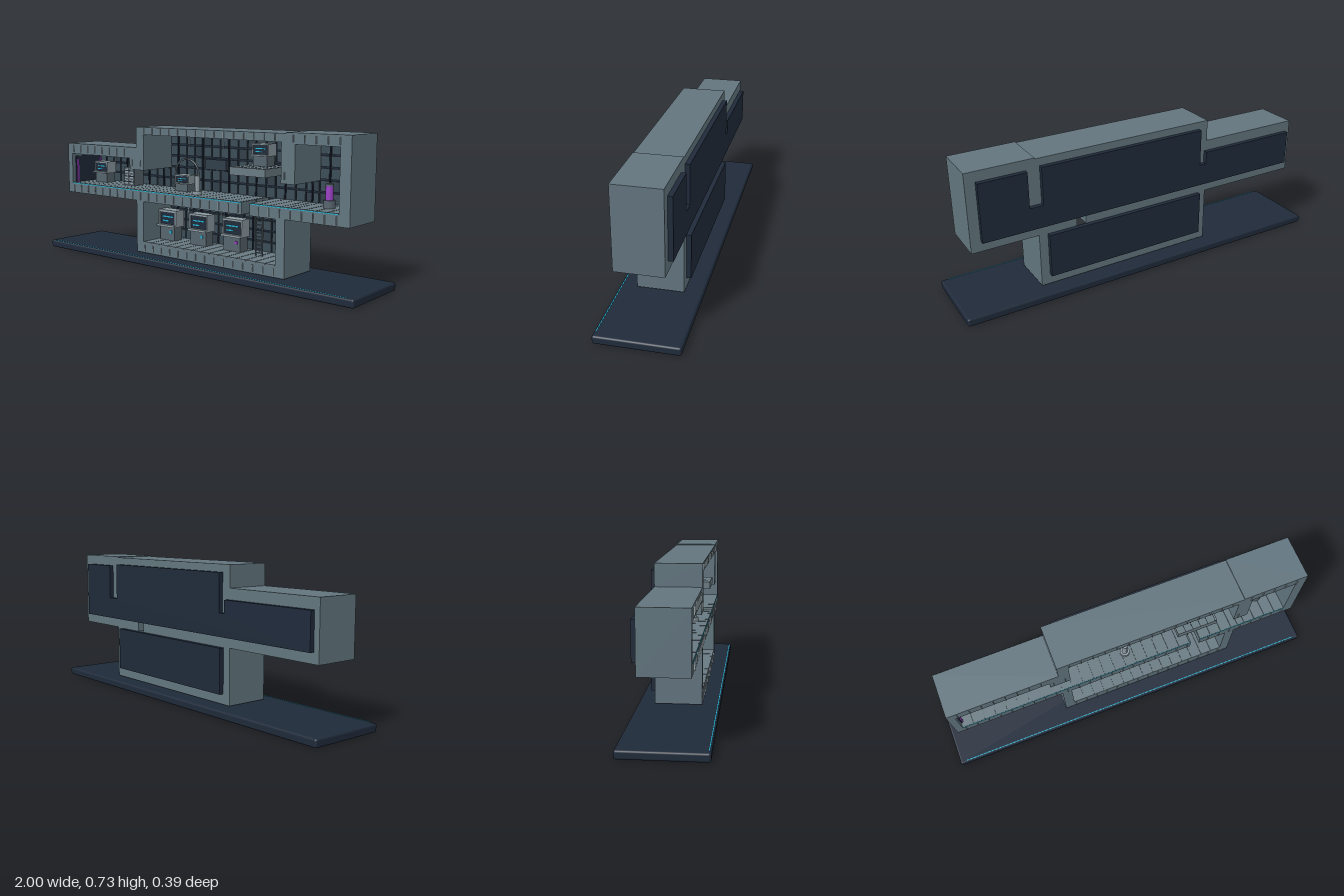
import * as THREE from 'three';
import { mergeGeometries } from 'three/addons/utils/BufferGeometryUtils.js';
import { RoundedBoxGeometry } from 'three/addons/geometries/RoundedBoxGeometry.js';

const mat = (name, color) => {
  const m = new THREE.MeshStandardMaterial({ color });
  m.name = name;
  return m;
};

// Box given by its lower and upper corners
const box = (x0, x1, y0, y1, z0, z1) =>
  new THREE.BoxGeometry(x1 - x0, y1 - y0, z1 - z0)
    .translate((x0 + x1) / 2, (y0 + y1) / 2, (z0 + z1) / 2);
const rod = (x, y0, y1, z, r, n = 12) =>
  new THREE.CylinderGeometry(r, r, y1 - y0, n).translate(x, (y0 + y1) / 2, z);
const points = list => list.map(([x, y]) => new THREE.Vector2(x, y));
const slab = (shape, z0, depth) =>
  new THREE.ExtrudeGeometry(shape, { depth, bevelEnabled: false }).translate(0, 0, z0);

export function createModel() {
  const M = {
    hull: mat('hull grey', 0x62757e),
    navy: mat('dark navy', 0x1f2a3a),
    wall: mat('wall panel', 0x3a4b56),
    wallDark: mat('dark wall panel', 0x303e49),
    floor: mat('floor grey', 0x697a82),
    pale: mat('pale metal', 0x8d9ca3),
    metal: mat('machine grey', 0x56646d),
    cyan: mat('cyan light', 0x22b8d8),
    purple: mat('purple light', 0x9a3fc4),
  };
  const model = new THREE.Group();
  const add = (name, material, geos, parent = model) => {
    const list = [].concat(geos);
    const mesh = new THREE.Mesh(list.length > 1 ? mergeGeometries(list) : list[0], material);
    mesh.name = name;
    parent.add(mesh);
    return mesh;
  };

  // Plinth with a light strip along its front edge
  add('base', M.navy, new RoundedBoxGeometry(2, 0.04, 0.394, 3, 0.01).translate(0, 0.02, 0));
  add('baseLight', M.cyan, box(-0.965, 0.965, 0.036, 0.041, 0.186, 0.19));

  // Hull frame: one outline, with the rooms and ladder slot cut through
  const hull = new THREE.Shape(points([
    [-0.93, 0.325], [-0.37, 0.325], [-0.37, 0.045], [0.59, 0.045], [0.59, 0.325], [0.925, 0.325],
    [0.925, 0.725], [0.59, 0.725], [0.59, 0.72], [-0.37, 0.72], [-0.37, 0.61], [-0.93, 0.61]]));
  hull.holes.push(new THREE.Path(points([
    [-0.895, 0.378], [-0.895, 0.55], [-0.42, 0.55], [-0.42, 0.49], [-0.315, 0.49], [-0.315, 0.68],
    [0.565, 0.68], [0.565, 0.49], [0.64, 0.49], [0.64, 0.672], [0.87, 0.672], [0.87, 0.378],
    [0.39, 0.378], [0.39, 0.322], [0.54, 0.322], [0.54, 0.1], [-0.32, 0.1], [-0.32, 0.322],
    [0.34, 0.322], [0.34, 0.378]])));
  add('hullFrame', M.hull, slab(hull, -0.113, 0.226));

  // Back plates closing the rooms
  const upper = new THREE.Shape(points([
    [-0.9, 0.376], [0.875, 0.376], [0.875, 0.673], [0.637, 0.673], [0.637, 0.49], [0.568, 0.49],
    [0.568, 0.682], [-0.318, 0.682], [-0.318, 0.49], [-0.355, 0.49], [-0.355, 0.555], [-0.9, 0.555]]));
  add('upperBackPlate', M.navy, slab(upper, -0.136, 0.026));
  add('lowerBackPlate', M.navy, box(-0.325, 0.545, 0.096, 0.322, -0.136, -0.11));

  // Rooms: x0, x1, floor, ceiling
  const rooms = [
    [-0.895, -0.42, 0.378, 0.55], [-0.42, -0.315, 0.378, 0.49], [-0.315, 0.565, 0.378, 0.68],
    [0.565, 0.64, 0.378, 0.49], [0.64, 0.87, 0.378, 0.672], [-0.32, 0.54, 0.1, 0.322]];

  // Tiled back walls with vertical seams and thin pipes
  const tiles = [[], []], seams = [], planks = [], pipes = [];
  rooms.forEach(([x0, x1, y0, y1]) => {
    const nx = Math.max(2, Math.round((x1 - x0) / 0.058));
    const ny = Math.max(2, Math.round((y1 - y0) / 0.058));
    const w = (x1 - x0) / nx, h = (y1 - y0) / ny;
    for (let i = 0; i < nx; i++) {
      const x = x0 + i * w;
      for (let j = 0; j < ny; j++) {
        const y = y0 + j * h;
        tiles[(i * 3 + j * 2) % 5 === 0 ? 1 : 0].push(
          box(x + 0.004, x + w - 0.004, y + 0.004, y + h - 0.004, -0.111, -0.102));
      }
      if (i % 3 === 1) pipes.push(rod(x, y0, y1, -0.098, 0.004, 6));
      if (i % 4 === 2) seams.push(box(x + 0.02, x + 0.024, y1 - 0.07, y1 - 0.03, -0.102, -0.098));
      // Floor planks, leaving the ladder slot open
      const a = x + 0.002, b = x + w - 0.002, cut = y0 > 0.3;
      const spans = cut && a < 0.39 && b > 0.34 ? [[a, 0.34], [0.39, b]] : [[a, b]];
      spans.filter(([p, q]) => q - p > 0.002).forEach(([p, q]) =>
        planks.push(box(p, q, y0 - 0.002, y0 + 0.005, -0.108, 0.113)));
    }
  });
  add('wallTiles', M.wall, tiles[0]);
  add('darkWallTiles', M.wallDark, tiles[1]);
  add('wallPipes', M.navy, pipes);
  add('wallSeams', M.pale, seams);
  add('floorPlanks', M.floor, planks);

  // Ribs on the front of the frame: x0, x1, y0, y1
  const ribs = [];
  [[-0.88, 0.9, 0.33, 0.37], [-0.88, -0.4, 0.56, 0.6], [-0.31, 0.56, 0.685, 0.715],
    [0.63, 0.88, 0.68, 0.715], [-0.31, 0.53, 0.055, 0.088], [-0.4, -0.33, 0.51, 0.545],
    [0.585, 0.625, 0.51, 0.545]].forEach(([x0, x1, y0, y1]) => {
    for (let x = x0; x <= x1; x += 0.06)
      if (y0 !== 0.33 || x < 0.335 || x > 0.395) ribs.push(box(x - 0.002, x + 0.002, y0, y1, 0.112, 0.118));
  });
  add('frameRibs', M.pale, ribs);
  add('floorLights', M.cyan, [
    box(-0.895, 0.34, 0.377, 0.381, 0.112, 0.115), box(0.39, 0.87, 0.377, 0.381, 0.112, 0.115)]);

  // Console: plinth, body, sloping screen hood and lit lines
  const console = (name, x, y, w, h, accent) => {
    const g = new THREE.Group();
    g.name = name;
    g.position.set(x, y, -0.03);
    const r = w / 2;
    add('plinth', M.metal, [box(-r * 0.85, r * 0.85, 0, h * 0.45, -0.03, 0.03)], g);
    add('body', M.pale, [
      box(-r, r, h * 0.45, h * 0.52, -0.035, 0.045),
      box(-r, r, h * 0.93, h, -0.035, 0.03),
      box(-r, -r * 0.86, h * 0.5, h * 0.95, -0.035, 0.03),
      box(r * 0.86, r, h * 0.5, h * 0.95, -0.035, 0.03)], g);
    add('screen', M.navy, box(-r * 0.88, r * 0.88, h * 0.5, h * 0.95, -0.035, 0.024), g);
    add('screenLines', accent, [
      box(-r * 0.6, r * 0.6, h * 0.76, h * 0.8, 0.022, 0.027),
      box(-r * 0.6, r * 0.1, h * 0.62, h * 0.66, 0.022, 0.027)], g);
    model.add(g);
  };
  console('leftConsole', -0.775, 0.383, 0.11, 0.12, M.cyan);
  console('centreConsole', -0.145, 0.383, 0.1, 0.085, M.cyan);
  console('platformConsole', 0.365, 0.548, 0.1, 0.11, M.cyan);
  [-0.25, -0.03, 0.195].forEach((x, i) => {
    console('lowerConsole' + (i + 1), x, 0.105, 0.125, 0.165, M.cyan);
    add('statusLight', i === 2 ? M.purple : M.cyan, box(x + 0.02, x + 0.035, 0.145, 0.16, 0, 0.004));
  });

  // Drawer cabinet
  add('cabinet', M.metal, box(-0.58, -0.5, 0.383, 0.485, -0.07, 0));
  const drawers = [];
  for (let i = 0; i < 2; i++) for (let j = 0; j < 3; j++)
    drawers.push(box(-0.575 + i * 0.038, -0.543 + i * 0.038, 0.392 + j * 0.031, 0.415 + j * 0.031, -0.001, 0.004));
  add('cabinetDrawers', M.pale, drawers);
  add('cabinetSlots', M.navy, drawers.map(d =>
    d.clone().scale(1, 0.25, 0.5).translate(0, 0, 0.004)).map((g, k) =>
    g.translate(0, 0.75 * (0.4035 + (k % 3) * 0.031), 0)));

  // Pedestal with a curved arm reaching over the console
  add('armPedestal', M.pale, [rod(0, 0.383, 0.4, 0.04, 0.025), rod(0, 0.4, 0.48, 0.04, 0.014)]);
  add('curvedArm', M.metal, new THREE.TorusGeometry(0.08, 0.005, 8, 24, Math.PI).translate(-0.08, 0.48, 0.03));
  add('wallUnit', M.wallDark, box(-0.045, 0.095, 0.5, 0.555, -0.105, -0.075));

  // Raised platform
  add('platform', M.floor, box(0.26, 0.47, 0.508, 0.548, -0.108, 0.105));
  const gaps = [];
  for (let x = 0.3; x < 0.46; x += 0.04) gaps.push(box(x - 0.0015, x + 0.0015, 0.545, 0.549, -0.105, 0.105));
  add('platformSeams', M.navy, gaps);

  // Ladder through the floor slot
  const rungs = [];
  for (let y = 0.12; y < 0.38; y += 0.02) rungs.push(box(0.345, 0.385, y - 0.002, y + 0.002, -0.003, 0.003));
  add('ladder', M.metal, [rod(0.345, 0.1, 0.385, 0, 0.004, 8), rod(0.385, 0.1, 0.385, 0, 0.004, 8), ...rungs]);

  // Glowing canister and end light
  add('canisterStand', M.metal, [rod(0.755, 0.383, 0.42, 0, 0.028, 16), rod(0.755, 0.485, 0.495, 0, 0.02, 16)]);
  add('canister', M.purple, rod(0.755, 0.42, 0.485, 0, 0.018, 16));
  add('endDoor', M.navy, box(-0.896, -0.888, 0.383, 0.535, -0.1, 0.09));
  add('endDoorLight', M.purple, [
    box(-0.89, -0.882, 0.385, 0.515, 0.075, 0.085), box(-0.89, -0.882, 0.385, 0.515, -0.1, -0.09)]);
  return model;
}
